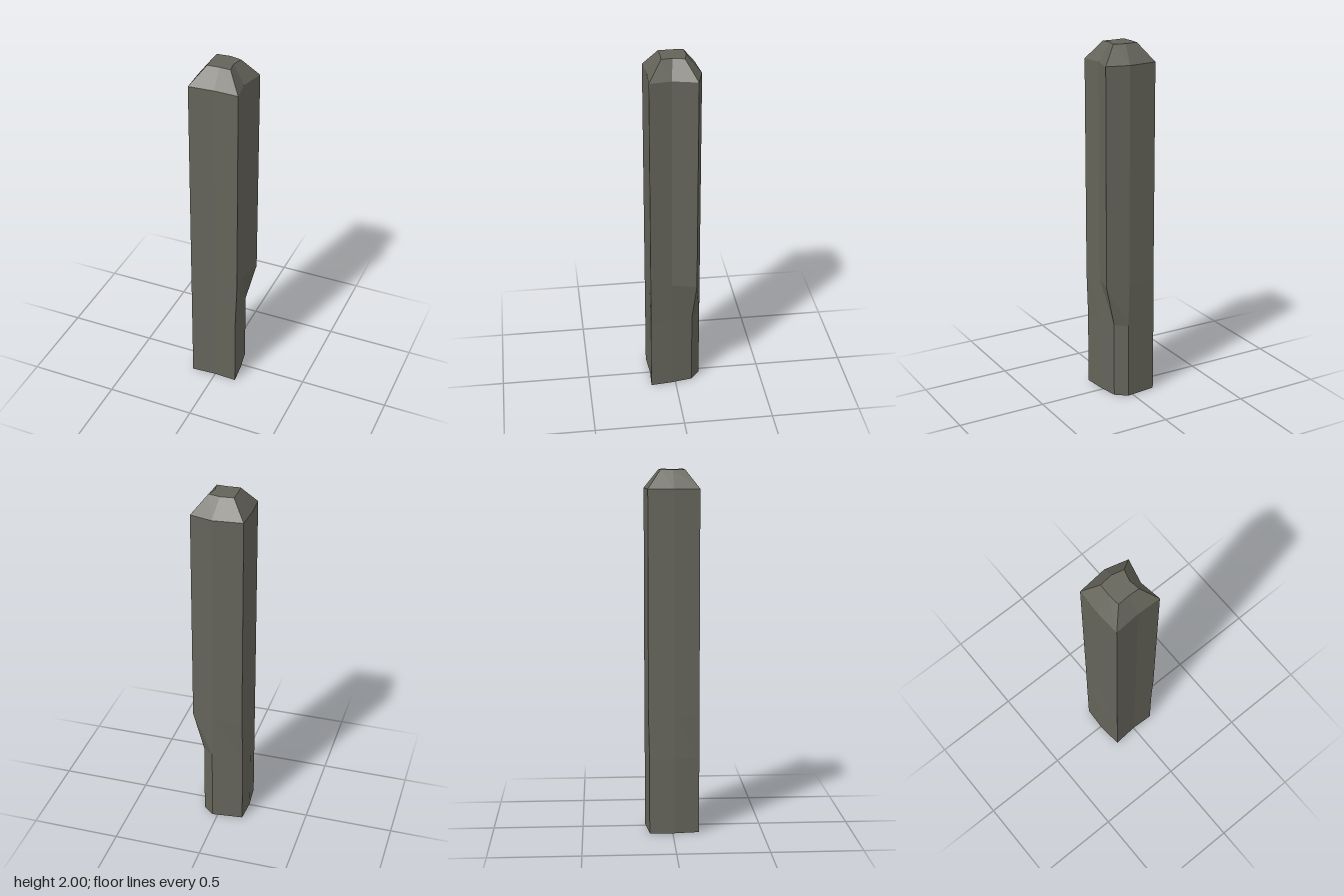
import * as THREE from 'three';

// Plan outlines [x, z], running back-left, back, back-right, right, front-right, front, front-left, left
const foot = [[-0.145, -0.128], [0.03, -0.148], [0.093, -0.097], [0.115, 0.02],
  [0.128, 0.143], [0.003, 0.137], [-0.139, 0.147], [-0.153, 0.008]];
const shaft = [[-0.14, -0.133], [0.025, -0.149], [0.151, -0.115], [0.118, 0.02],
  [0.136, 0.142], [0.003, 0.137], [-0.139, 0.147], [-0.146, 0.008]];
const crown = [[-0.068, -0.062], [0.005, -0.069], [0.07, -0.053], [0.054, 0.01],
  [0.063, 0.07], [0, 0.067], [-0.065, 0.071], [-0.07, 0.005]];

// Faceted solid through stacked rings, with optional end caps
function loft(rings, capBottom, capTop) {
  const pos = [];
  const tri = (...points) => points.forEach((p) => pos.push(...p));
  const loops = rings.map(([y, outline]) => outline.map(([x, z]) => [x, y, z]));
  const n = loops[0].length;
  for (let i = 0; i < n; i++) {
    const j = (i + 1) % n;
    for (let k = 0; k < loops.length - 1; k++) {
      const lo = loops[k], up = loops[k + 1];
      tri(lo[i], up[i], up[j]);
      tri(lo[i], up[j], lo[j]);
    }
    const first = loops[0], last = loops[loops.length - 1];
    if (capBottom) tri([0, first[0][1], 0], first[i], first[j]);
    if (capTop) tri([0, last[0][1], 0], last[j], last[i]);
  }
  const geometry = new THREE.BufferGeometry();
  geometry.setAttribute('position', new THREE.Float32BufferAttribute(pos, 3));
  geometry.computeVertexNormals();
  return geometry;
}

export function createModel() {
  const group = new THREE.Group();
  group.name = 'stonePost';
  const stone = new THREE.MeshStandardMaterial({ color: 0x65645a, flatShading: true });
  stone.name = 'darkStone';

  const add = (name, geometry) => {
    const mesh = new THREE.Mesh(geometry, stone);
    mesh.name = name;
    group.add(mesh);
  };

  // Base with its chipped back corner, tapering out to the full shaft
  add('base', loft([[0, foot], [0.43, foot], [0.67, shaft]], true, false));
  // Long straight shaft
  add('shaft', loft([[0.67, shaft], [1.9, shaft]], false, false));
  // Bevelled tip
  add('tip', loft([[1.9, shaft], [2, crown]], false, true));
  return group;
}
